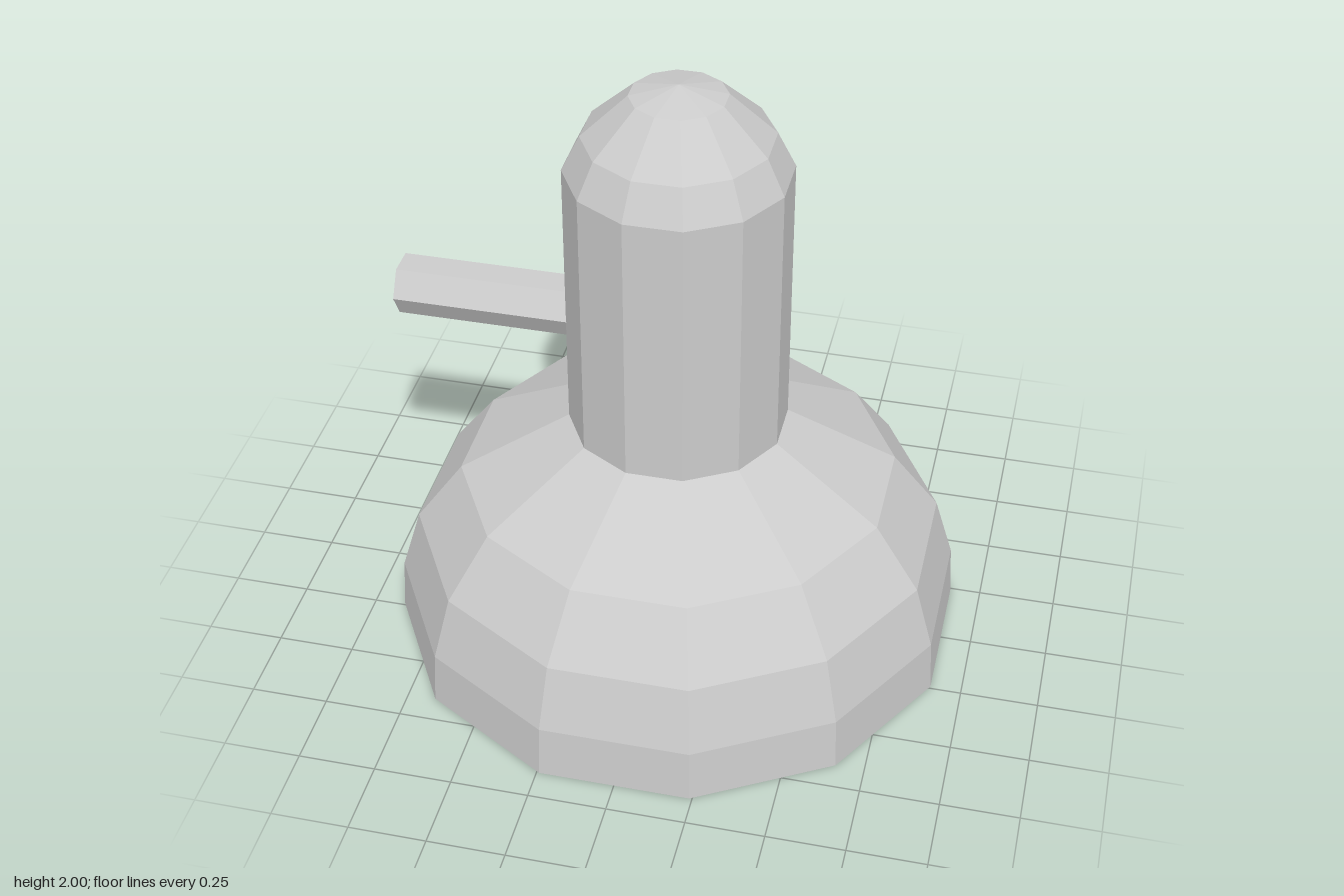
import * as THREE from 'three';

const SIDES = 12;
const APOTHEM = Math.cos(Math.PI / SIDES);

const material = new THREE.MeshStandardMaterial({
  color: 0xcccccc, flatShading: true, side: THREE.DoubleSide,
});

// Twelve-sided turned part with flats facing the axes; radii are measured to the flats.
function turned(name, profile) {
  const points = profile.map(([r, y]) => new THREE.Vector2(r / APOTHEM, y));
  const geometry = new THREE.LatheGeometry(points, SIDES);
  geometry.rotateY(Math.PI / SIDES);
  const mesh = new THREE.Mesh(geometry, material);
  mesh.name = name;
  return mesh;
}

export function createModel() {
  const model = new THREE.Group();
  model.name = 'bellWithHandle';

  // Hollow flared base: inner wall downwards, rim, then outer wall upwards
  model.add(turned('bellBase', [
    [0.30, 0.76], [0.65, 0.56], [0.78, 0.38], [0.84, 0.18], [0.85, 0],
    [0.90, 0], [0.89, 0.18], [0.83, 0.39], [0.685, 0.59], [0.34, 0.795],
  ]));

  // Hollow column with a domed top
  model.add(turned('domedColumn', [
    [0, 1.95], [0.13, 1.92], [0.25, 1.80], [0.30, 1.70], [0.30, 0.76],
    [0.34, 0.795], [0.34, 1.715], [0.285, 1.83], [0.145, 1.965], [0, 2],
  ]));

  // Six-sided open tube sticking out of the side
  const [inner, outer] = [-0.33, -0.905];
  const tube = new THREE.CylinderGeometry(0.095, 0.095, inner - outer, 6, 1, true);
  tube.rotateZ(Math.PI / 2);
  const handle = new THREE.Mesh(tube, material);
  handle.name = 'sideHandle';
  handle.position.set((inner + outer) / 2, 1.16, 0);
  model.add(handle);

  return model;
}
